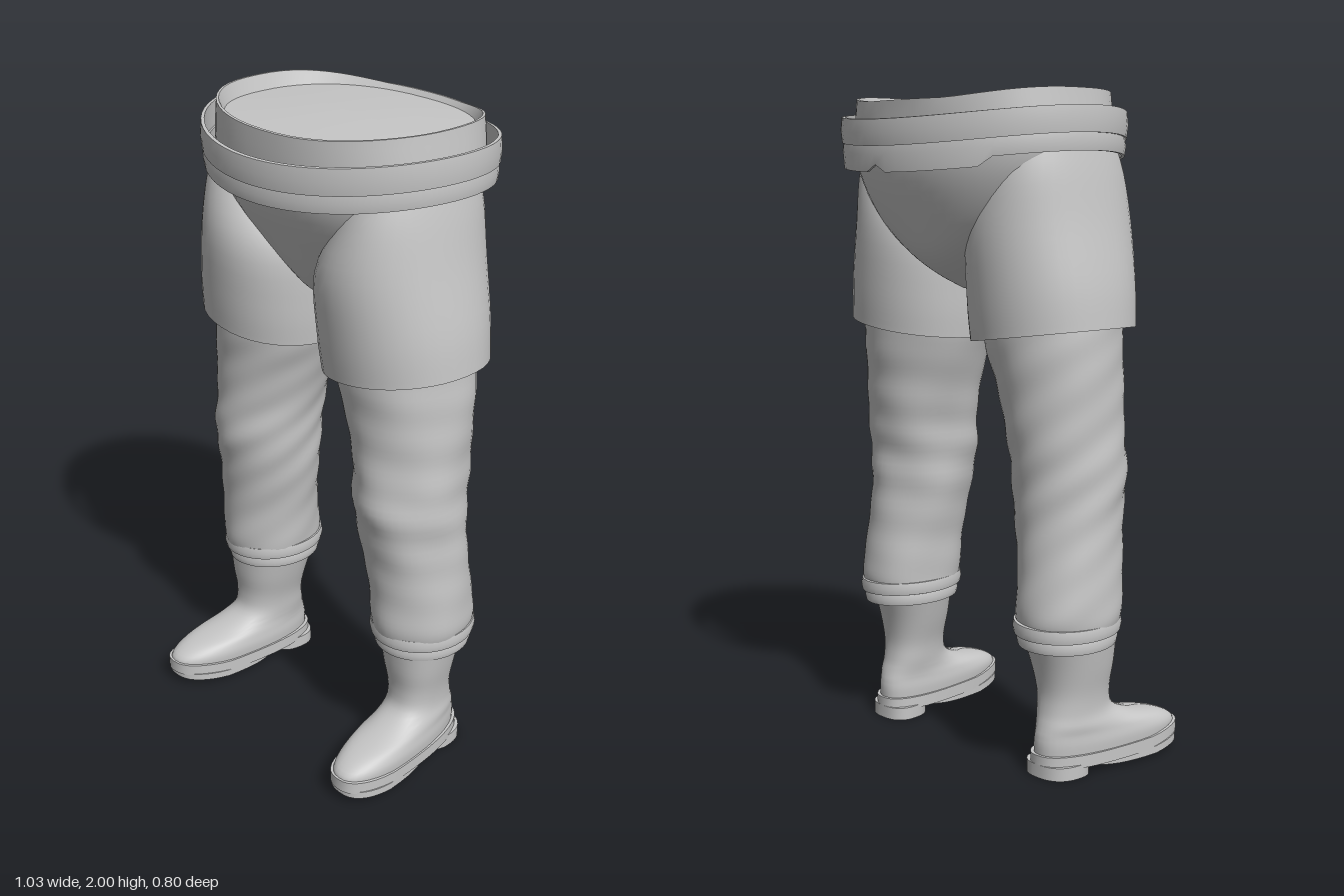
import * as THREE from 'three';
import { toCreasedNormals } from 'three/addons/utils/BufferGeometryUtils.js';

const cloth = new THREE.MeshStandardMaterial({ color: 0xc6c6c6 });
cloth.name = 'plain grey';

// Smooth in-between rings (Catmull-Rom on every ring parameter)
function refine(rings, sub) {
  const out = [];
  for (let i = 0; i < rings.length - 1; i++) {
    const p0 = rings[Math.max(i - 1, 0)], p1 = rings[i], p2 = rings[i + 1];
    const p3 = rings[Math.min(i + 2, rings.length - 1)];
    for (let k = 0; k < sub; k++) {
      const t = k / sub;
      out.push(p1.map((b, n) => {
        const a = p0[n], c = p2[n], d = p3[n];
        return b + 0.5 * t * (c - a + t * (2 * a - 5 * b + 4 * c - d + t * (3 * (b - c) + d - a)));
      }));
    }
  }
  out.push(rings[rings.length - 1]);
  return out;
}

// Skin over oval rings [y, centreX, centreZ, radiusX, radiusZ], listed bottom to top.
// side -1 mirrors in x; slope tilts rings sideways; shear turns the part outward.
function loft(name, rings, o = {}) {
  const { side = 1, sub = 1, seg = 40, power = 2, slope = 0, shear = 0, fold, bend, crease = 0.75 } = o;
  const rows = sub > 1 ? refine(rings, sub) : rings;
  const pos = [], index = [];
  rows.forEach(([y, cx, cz, rx, rz], j) => {
    for (let i = 0; i < seg; i++) {
      const t = (i / seg) * Math.PI * 2;
      const k = fold ? fold(t, y, side) : 1;
      const c = Math.cos(t), s = Math.sin(t);
      const dx = Math.sign(c) * Math.abs(c) ** (2 / power) * rx * k;
      const z = cz + Math.sign(s) * Math.abs(s) ** (2 / power) * rz * k;
      const x = side * (cx + shear * z) + dx;
      pos.push(x, y + slope * side * dx + (bend ? bend(x, z, y) : 0), z);
      if (j < rows.length - 1) {
        const a = j * seg + i, b = j * seg + (i + 1) % seg;
        index.push(a, a + seg, b, b, a + seg, b + seg);
      }
    }
  });
  const g = new THREE.BufferGeometry();
  g.setAttribute('position', new THREE.Float32BufferAttribute(pos, 3));
  g.setIndex(index);
  const mesh = new THREE.Mesh(toCreasedNormals(g, crease), cloth);
  mesh.name = name;
  return mesh;
}

// Soft cloth wrinkles, strongest around the knee
const wrinkles = (t, y, side) => {
  const knee = Math.exp(-(((y - 0.88) / 0.16) ** 2));
  return 1 + (0.012 + 0.02 * knee) * Math.sin(2 * t + 19 * y + side) * Math.sin(3 * t * side - 31 * y)
    + 0.008 * Math.sin(5 * t + 13 * y);
};

function buildLeg(side) {
  const leg = new THREE.Group();
  leg.name = side > 0 ? 'leftLeg' : 'rightLeg';

  // Flared short leg with a turned-in lower lip
  const flap = refine([
    [1.3, 0.275, 0.008, 0.238, 0.238],
    [1.42, 0.265, 0.01, 0.235, 0.25],
    [1.6, 0.252, 0.012, 0.213, 0.258],
    [1.75, 0.282, 0.005, 0.158, 0.232],
    [1.86, 0.295, 0, 0.122, 0.19],
  ], 4);
  flap.unshift([1.34, 0.275, 0.008, 0.215, 0.215], [1.3, 0.275, 0.008, 0.225, 0.225]);
  leg.add(loft('shortLeg', flap, { side, slope: 0.13, power: 2.1 }));

  // Wrinkled trouser leg
  leg.add(loft('trouserLeg', [
    [0.45, 0.355, -0.002, 0.143, 0.162],
    [0.5, 0.356, 0, 0.148, 0.168],
    [0.62, 0.35, 0.008, 0.15, 0.162],
    [0.76, 0.335, 0.02, 0.158, 0.165],
    [0.9, 0.325, 0.03, 0.165, 0.178],
    [1.02, 0.315, 0.018, 0.168, 0.182],
    [1.15, 0.3, 0.012, 0.184, 0.19],
    [1.27, 0.28, 0.008, 0.2, 0.205],
    [1.4, 0.27, 0.008, 0.2, 0.215],
  ], { side, sub: 6, seg: 48, fold: wrinkles, crease: 1 }));

  // Two stacked cuff bands
  for (const [y, h, rx, rz] of [[0.432, 0.038, 0.151, 0.174], [0.395, 0.034, 0.142, 0.16]]) {
    leg.add(loft('cuff', [
      [y, 0.355, -0.006, 0.1, 0.11],
      [y, 0.355, -0.006, rx - 0.004, rz - 0.004],
      [y + h / 2, 0.355, -0.006, rx, rz],
      [y + h, 0.355, -0.006, rx - 0.004, rz - 0.004],
      [y + h, 0.355, -0.006, 0.1, 0.11],
    ], { side, slope: -0.03, bend: (x, z) => 0.03 * z }));
  }

  // Boot: foot rising into the shaft
  leg.add(loft('boot', [
    [0.06, 0.37, 0.135, 0.094, 0.258],
    [0.095, 0.37, 0.132, 0.096, 0.256],
    [0.125, 0.37, 0.105, 0.092, 0.225],
    [0.152, 0.37, 0.05, 0.088, 0.162],
    [0.19, 0.365, 0.017, 0.085, 0.118],
    [0.25, 0.363, 0.012, 0.09, 0.107],
    [0.33, 0.36, 0.01, 0.108, 0.117],
    [0.42, 0.357, 0, 0.126, 0.132],
  ], { side, sub: 4, shear: 0.1, power: 2.3 }));

  // Sole with a raised toe, and a separate heel block
  const slab = (name, y0, y1, cz, rx, rz, bend) => loft(name, [
    [y0, 0.37, cz, 0.001, 0.001],
    [y0, 0.37, cz, rx, rz],
    [y1, 0.37, cz, rx, rz],
    [y1, 0.37, cz, 0.001, 0.001],
  ], { side, shear: 0.1, power: 2.5, bend });
  leg.add(slab('sole', 0.03, 0.068, 0.134, 0.1, 0.266, (x, z) => 0.12 * Math.max(0, z - 0.25)));
  leg.add(slab('treadSole', 0.012, 0.035, 0.21, 0.097, 0.182, (x, z) => 0.12 * Math.max(0, z - 0.25)));
  leg.add(slab('heel', 0, 0.04, -0.052, 0.085, 0.08));
  return leg;
}

export function createModel() {
  const model = new THREE.Group();
  model.name = 'trousersAndBoots';

  // Pelvis, tapering to the crotch, with a shallow recessed top
  const hips = refine([
    [1.425, 0, -0.02, 0.02, 0.07],
    [1.47, 0, -0.03, 0.075, 0.15],
    [1.53, 0, -0.04, 0.17, 0.205],
    [1.62, 0, -0.035, 0.3, 0.25],
    [1.74, 0, -0.025, 0.385, 0.3],
    [1.85, 0, -0.02, 0.418, 0.318],
    [1.995, 0, -0.02, 0.403, 0.32],
  ], 4);
  hips.unshift([1.42, 0, -0.02, 0.001, 0.001]);
  hips.push([1.995, 0, -0.02, 0.396, 0.313], [1.955, 0, -0.02, 0.38, 0.3],
    [1.965, 0, -0.02, 0.2, 0.16], [1.97, 0, -0.02, 0.001, 0.001]);
  model.add(loft('pelvis', hips, {
    seg: 56, power: 2.3,
    bend: (x, z, y) => (y > 1.98 ? 0.005 - 0.03 * Math.min(1, (Math.abs(z) / 0.32) ** 3) : 0),
  }));

  // Loose hoop belt in two ridged bands, lower at front and back
  const sag = (x, z) => -0.035 * ((z + 0.02) / 0.38) ** 2;
  const hoop = (name, y0, y1, rx, rz, drop) => loft(name, [
    [y0, 0, -0.02, rx - 0.014, rz - 0.014],
    [y0, 0, -0.02, rx - 0.004, rz - 0.004],
    [(y0 + y1) / 2, 0, -0.02, rx, rz],
    [y1, 0, -0.02, rx - 0.004, rz - 0.004],
    [y1, 0, -0.02, rx - 0.014, rz - 0.014],
    [y0, 0, -0.02, rx - 0.014, rz - 0.014],
  ], {
    seg: 64,
    bend: (x, z, y) => sag(x, z) - (y === y0 && z < -0.3 ? drop * Math.min(1, Math.abs(x - 0.04) / 0.04) : 0),
  });
  model.add(hoop('upperBelt', 1.875, 1.95, 0.472, 0.384, 0));
  model.add(hoop('lowerBelt', 1.825, 1.878, 0.465, 0.38, 0.025));

  for (const side of [1, -1]) model.add(buildLeg(side));
  return model;
}
